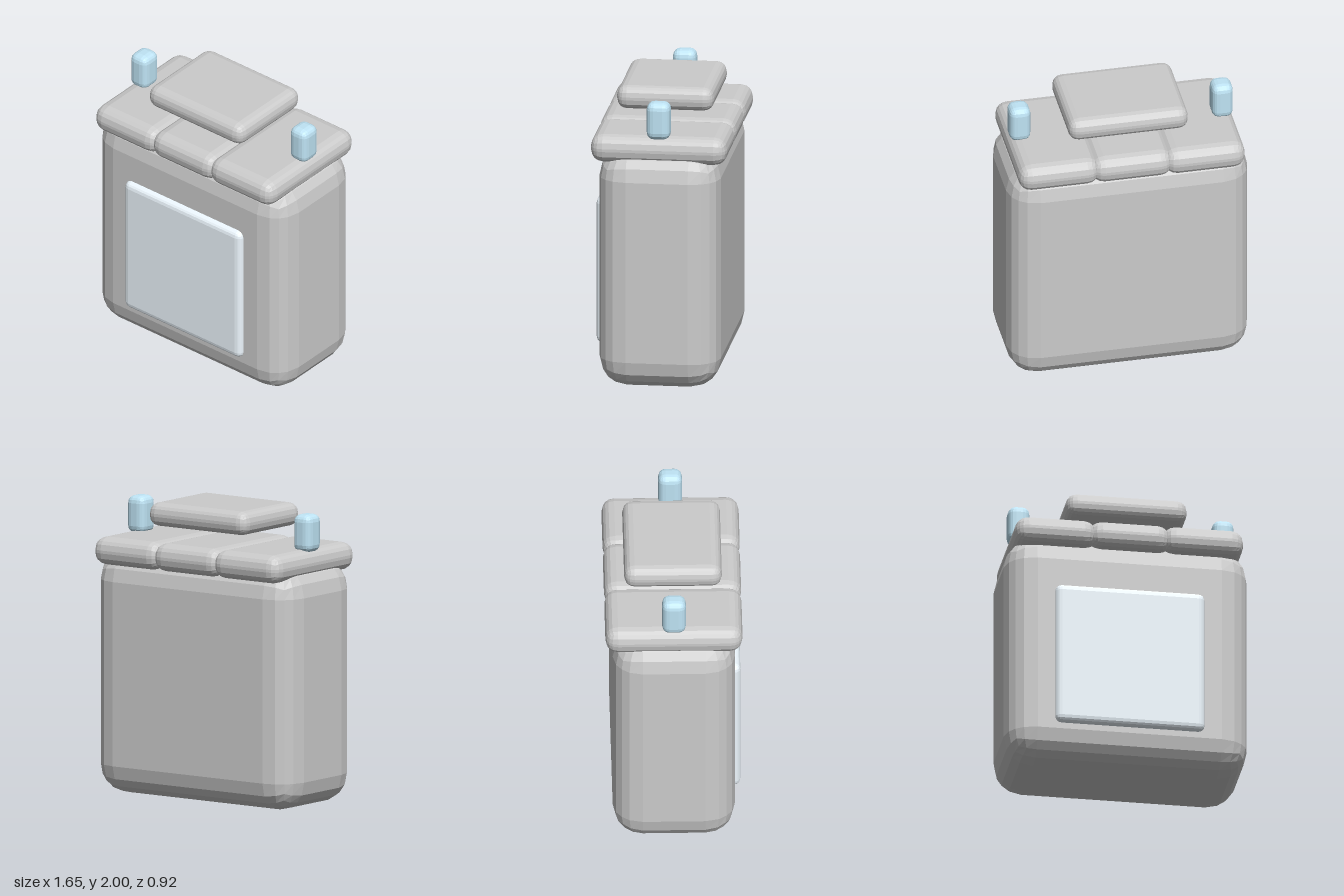
import * as THREE from 'three';
import { RoundedBoxGeometry } from 'three/addons/geometries/RoundedBoxGeometry.js';

const grey = new THREE.MeshStandardMaterial({ color: 0xcccccc, flatShading: true });
const blue = new THREE.MeshStandardMaterial({ color: 0xbfe4f5, flatShading: true });
const paleBlue = new THREE.MeshStandardMaterial({ color: 0xeef8ff, flatShading: true });

// Soft-edged block from its size, edge radius and centre
function block(name, [w, h, d], radius, [x, y, z], material) {
  const mesh = new THREE.Mesh(new RoundedBoxGeometry(w, h, d, 2, radius), material);
  mesh.name = name;
  mesh.position.set(x, y, z);
  return mesh;
}

export function createModel() {
  const model = new THREE.Group();
  model.name = 'jar';

  // Body with a pale panel set into the front
  model.add(block('body', [1.65, 1.65, 0.82], 0.2, [0, 0.825, 0], grey));
  model.add(block('frontPanel', [1.015, 1.015, 0.1], 0.045, [0, 0.748, 0.4], paleBlue));

  // Three overlapping slabs form the lid
  for (const x of [-0.5, 0, 0.5]) {
    model.add(block('lidSlab', [0.55, 0.19, 0.92], 0.085, [x, 1.655, 0], grey));
  }

  // Small posts standing at both ends of the lid
  for (const side of [-1, 1]) {
    model.add(block(side > 0 ? 'leftPost' : 'rightPost',
      [0.145, 0.255, 0.16], 0.05, [side * 0.693, 1.858, 0], blue));
  }

  // Floating plate above the lid
  model.add(block('topPlate', [0.82, 0.16, 0.655], 0.07, [0, 1.92, 0], grey));

  return model;
}
